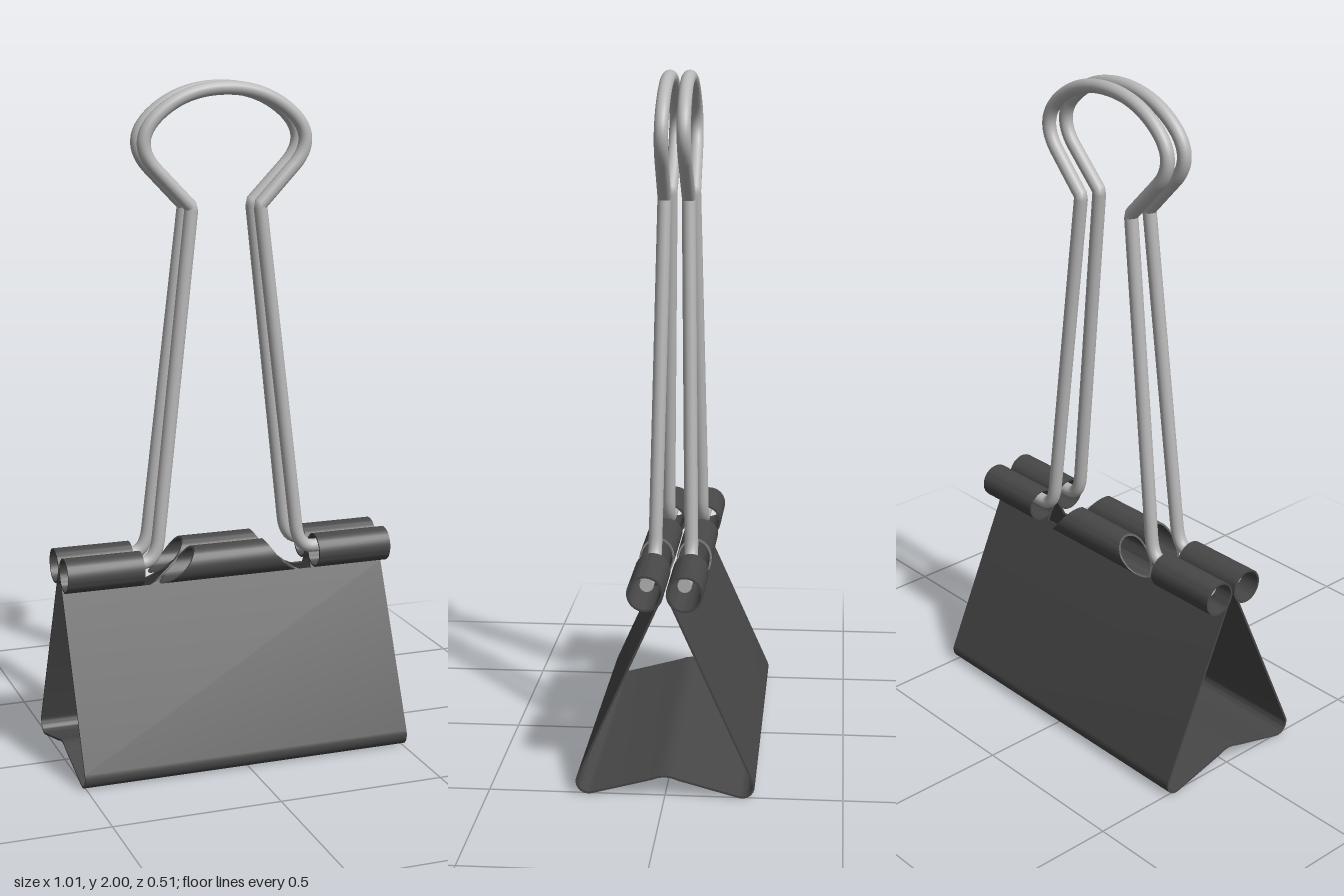
import * as THREE from 'three';
import { toCreasedNormals } from 'three/addons/utils/BufferGeometryUtils.js';

const THICK = 0.006, HALF = 0.507, NOTCH = 0.53, WIRE = 0.02;

// Sheet of even thickness following a (z, y) centre line, spanning x0..x1
function sheet(points, x0, x1) {
  const offset = (s) => points.map((p, i) => {
    const a = points[Math.max(i - 1, 0)], b = points[Math.min(i + 1, points.length - 1)];
    const d = b.clone().sub(a).normalize();
    return new THREE.Vector2(-(p.x - d.y * s), p.y + d.x * s);
  });
  const outline = [...offset(THICK / 2), ...offset(-THICK / 2).reverse()];
  const geo = new THREE.ExtrudeGeometry(new THREE.Shape(outline), { depth: x1 - x0, bevelEnabled: false });
  return geo.translate(0, 0, x0).rotateY(Math.PI / 2);
}

// Pressed spring body below the notches
function bodyProfile() {
  const half = [new THREE.Vector2(0.0325, NOTCH)];
  for (let i = 0; i <= 10; i++) {
    const a = 0.425 - 2.245 * i / 10;
    half.push(new THREE.Vector2(0.217 + 0.033 * Math.cos(a), 0.037 + 0.033 * Math.sin(a)));
  }
  half.push(new THREE.Vector2(0.04, 0.05), new THREE.Vector2(0.02, 0.057));
  const other = half.map((p) => new THREE.Vector2(-p.x, p.y)).reverse();
  return [...half, new THREE.Vector2(0, 0.06), ...other];
}

// Upper edge of one leg, rolled outward into a loop
function curlProfile(side) {
  const pts = [];
  for (let i = 0; i <= 6; i++) {
    const t = i / 6;
    pts.push(new THREE.Vector2(side * (0.0325 - 0.026 * t), NOTCH + 0.058 * t));
  }
  for (let i = 1; i <= 36; i++) {
    const a = Math.PI - 6.1 * i / 36;
    pts.push(new THREE.Vector2(side * (0.055 + 0.0485 * Math.cos(a)), 0.592 + 0.0485 * Math.sin(a)));
  }
  return pts;
}

// Middle tab flares out towards the bottom of the notches
function flareTab(geo) {
  const pos = geo.attributes.position;
  for (let i = 0; i < pos.count; i++) {
    const k = THREE.MathUtils.clamp(1 - (pos.getY(i) - NOTCH) / 0.115, 0, 1);
    pos.setX(i, pos.getX(i) * (0.11 + 0.075 * k + 0.055 * k ** 4));
  }
  return geo;
}

// Wire lever centre line, from one end round the head to the other
function leverPath(side) {
  const v = (x, y) => new THREE.Vector3(x, y, side * (0.053 - 0.024 * Math.max(0, y - 0.607) / 1.37));
  const half = [
    [v(0.47, 0.607), v(0.27, 0.607)],
    [v(0.27, 0.607), v(0.225, 0.607), v(0.217, 0.68)],
    [v(0.217, 0.68), v(0.105, 1.645)],
    [v(0.105, 1.645), v(0.21, 1.755)],
    [v(0.21, 1.755), v(0.285, 1.835), v(0.2, 1.91)],
    [v(0.2, 1.91), v(0.12, 1.98), v(0, 1.98)],
  ];
  const mirrored = half.map((s) => s.map((p) => new THREE.Vector3(-p.x, p.y, p.z)).reverse()).reverse();
  const path = new THREE.CurvePath();
  for (const s of [...half, ...mirrored]) {
    path.add(s.length === 2 ? new THREE.LineCurve3(...s) : new THREE.QuadraticBezierCurve3(...s));
  }
  return path;
}

export function createModel() {
  const group = new THREE.Group();
  const steel = new THREE.MeshStandardMaterial({ color: 0x484848 });
  steel.name = 'dark steel';
  const wire = new THREE.MeshStandardMaterial({ color: 0xb8b8b8 });
  wire.name = 'bright wire';

  const add = (name, geo, mat, parent = group) => {
    const mesh = new THREE.Mesh(geo, mat);
    mesh.name = name;
    parent.add(mesh);
    return mesh;
  };

  add('springBody', toCreasedNormals(sheet(bodyProfile(), -HALF, HALF), 0.6), steel);

  for (const side of [1, -1]) {
    const label = side > 0 ? 'front' : 'back';

    // Rolled sleeves and the middle tab
    const curl = curlProfile(side);
    add(label + 'LeftSleeve', toCreasedNormals(sheet(curl, 0.275, HALF), 0.6), steel);
    add(label + 'RightSleeve', toCreasedNormals(sheet(curl, -HALF, -0.275), 0.6), steel);
    add(label + 'MiddleTab', toCreasedNormals(flareTab(sheet(curl, -1, 1)), 0.6), steel);

    // Wire lever with closed ends
    const lever = new THREE.Group();
    lever.name = label + 'Lever';
    group.add(lever);
    add('leverWire', new THREE.TubeGeometry(leverPath(side), 320, WIRE, 16), wire, lever);
    for (const x of [1, -1]) {
      const cap = add('wireEnd', new THREE.CircleGeometry(WIRE, 16), wire, lever);
      cap.position.set(x * 0.47, 0.607, side * 0.053);
      cap.rotation.y = x * Math.PI / 2;
    }
  }
  return group;
}
